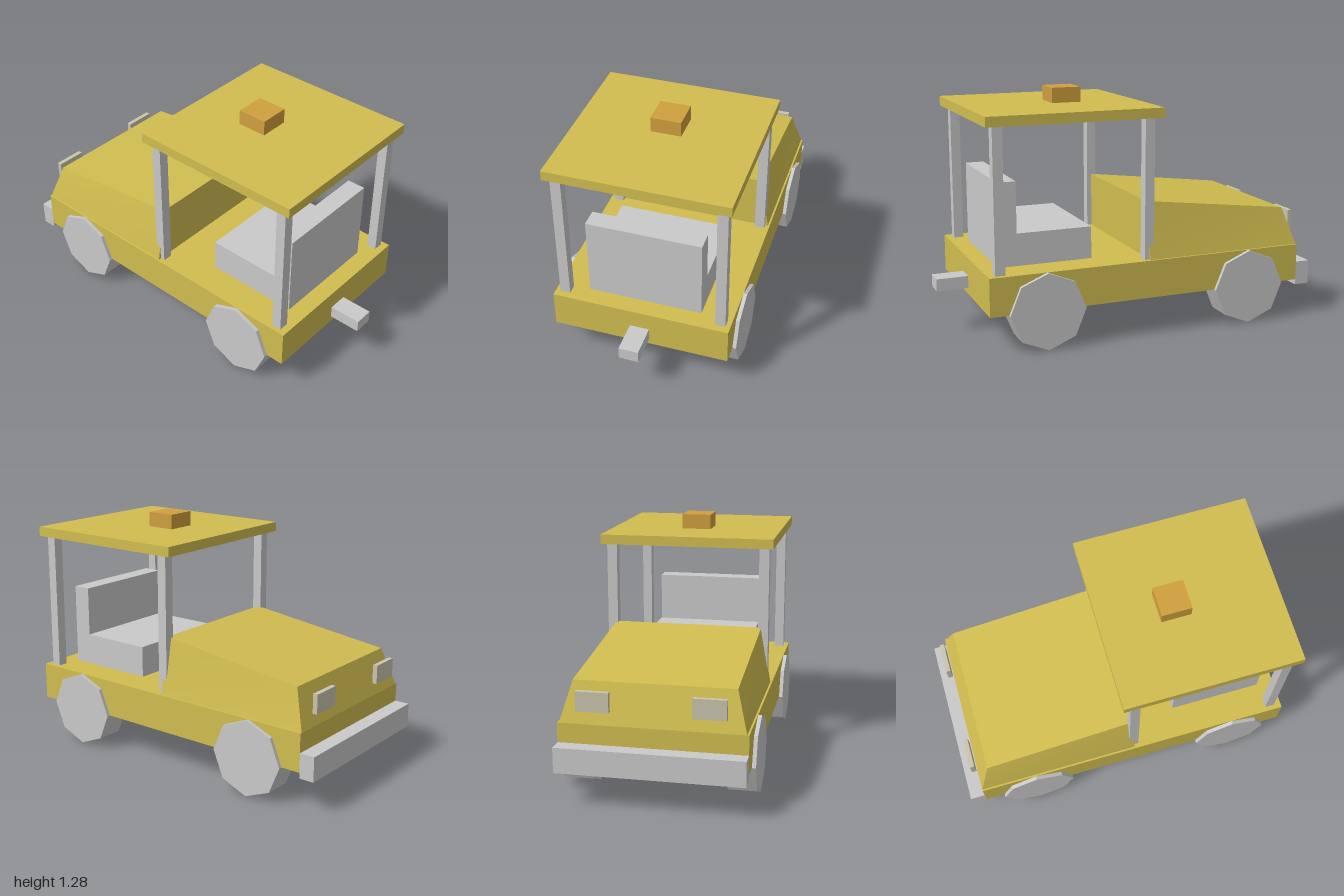
import * as THREE from 'three';

const mat = (name, color) => {
  const m = new THREE.MeshStandardMaterial({ color });
  m.name = name;
  return m;
};

export function createModel() {
  const yellow = mat('yellow paint', 0xd1bd50);
  const grey = mat('light grey', 0xcacaca);
  const amber = mat('amber', 0xd0a03e);
  const lampGlass = mat('lamp glass', 0xcac5ae);
  const model = new THREE.Group();
  model.name = 'utilityCart';

  const add = (name, geometry, material) => {
    const mesh = new THREE.Mesh(geometry, material);
    mesh.name = name;
    model.add(mesh);
    return mesh;
  };

  // Box given by its extents along each axis
  const box = (name, material, [x0, x1], [y0, y1], [z0, z1]) => {
    const mesh = add(name, new THREE.BoxGeometry(x1 - x0, y1 - y0, z1 - z0), material);
    mesh.position.set((x0 + x1) / 2, (y0 + y1) / 2, (z0 + z1) / 2);
    return mesh;
  };

  // Body, roof and beacon
  box('chassis', yellow, [-0.47, 0.47], [0.203, 0.404], [-0.92, 0.83]);
  box('roof', yellow, [-0.47, 0.47], [1.148, 1.2], [-0.11, 0.83]);
  box('beacon', amber, [-0.08, 0.08], [1.2, 1.28], [0.2, 0.36]);

  // Bumper at the nose, tow hitch at the other end
  box('bumper', grey, [-0.47, 0.47], [0.174, 0.304], [-1, -0.92]);
  box('towHitch', grey, [-0.052, 0.052], [0.238, 0.304], [0.83, 1]);

  // Bench seat
  box('seatBase', grey, [-0.303, 0.303], [0.404, 0.575], [0.23, 0.635]);
  box('seatBack', grey, [-0.303, 0.303], [0.404, 0.845], [0.635, 0.735]);

  // Hood: a box tapered inward and sloping down to the nose
  const hood = new THREE.BoxGeometry(1, 1, 1);
  const p = hood.attributes.position;
  for (let i = 0; i < p.count; i++) {
    const top = p.getY(i) > 0;
    const nose = p.getZ(i) < 0;
    p.setXYZ(
      i,
      Math.sign(p.getX(i)) * (top ? 0.405 : 0.46),
      top ? (nose ? 0.606 : 0.708) : 0.404,
      nose ? (top ? -0.853 : -0.92) : -0.04
    );
  }
  hood.computeVertexNormals();
  add('hood', hood, yellow);

  // Mirrored posts, headlights and eight-sided wheels
  const wheel = new THREE.CylinderGeometry(0.202, 0.202, 0.146, 8).toNonIndexed();
  wheel.rotateZ(Math.PI / 2);
  wheel.computeVertexNormals();
  for (const [side, s] of [['left', 1], ['right', -1]]) {
    const span = (a, b) => (s > 0 ? [a, b] : [-b, -a]);
    box(side + 'HoodPost', grey, span(0.391, 0.445), [0.404, 1.148], [-0.066, -0.014]);
    box(side + 'SeatPost', grey, span(0.391, 0.445), [0.404, 1.148], [0.74, 0.792]);
    box(side + 'Headlight', lampGlass, span(0.203, 0.368), [0.475, 0.576], [-0.945, -0.92]);
    for (const [end, z] of [['Hood', -0.615], ['Seat', 0.53]]) {
      add(side + end + 'Wheel', wheel, grey).position.set(s * 0.417, 0.202, z);
    }
  }
  return model;
}
